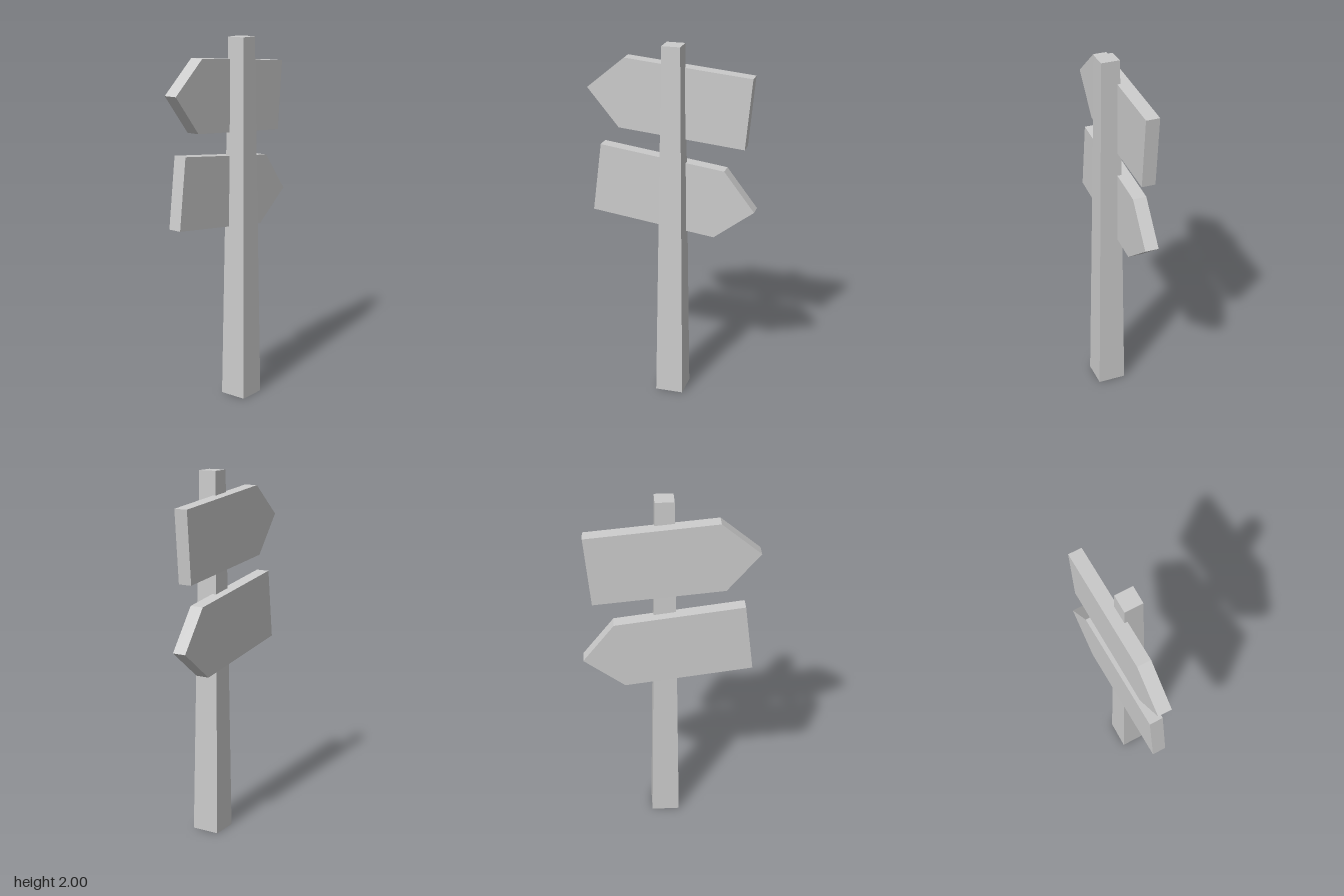
import * as THREE from 'three';

const material = new THREE.MeshStandardMaterial({ color: 0xcccccc, flatShading: true });
const BOARD_FRONT = -0.021, BOARD_DEPTH = 0.074;

// Arrow-shaped plank: outline given as [z, y] corners, thickness along x
function arrowBoard(name, outline) {
  const shape = new THREE.Shape(outline.map(([z, y]) => new THREE.Vector2(z, y)));
  const geometry = new THREE.ExtrudeGeometry(shape, { depth: BOARD_DEPTH, bevelEnabled: false });
  geometry.rotateY(-Math.PI / 2).translate(BOARD_FRONT, 0, 0);
  const mesh = new THREE.Mesh(geometry, material);
  mesh.name = name;
  return mesh;
}

export function createModel() {
  const group = new THREE.Group();
  group.name = 'signpost';

  // Tapered square post
  const postGeometry = new THREE.CylinderGeometry(0.05 * Math.SQRT2, 0.0775 * Math.SQRT2, 2, 4);
  postGeometry.rotateY(Math.PI / 4);
  const post = new THREE.Mesh(postGeometry, material);
  post.name = 'post';
  post.position.set(0.0145, 1, -0.023);
  group.add(post);

  // Upper board points forward, lower board points back
  group.add(
    arrowBoard('upperBoard', [
      [0.257, 1.903], [0.466, 1.728], [0.292, 1.518], [-0.402, 1.455], [-0.437, 1.84],
    ]),
    arrowBoard('lowerBoard', [
      [0.397, 1.413], [0.446, 1.029], [-0.241, 0.939], [-0.462, 1.108], [-0.294, 1.325],
    ]),
  );
  return group;
}
